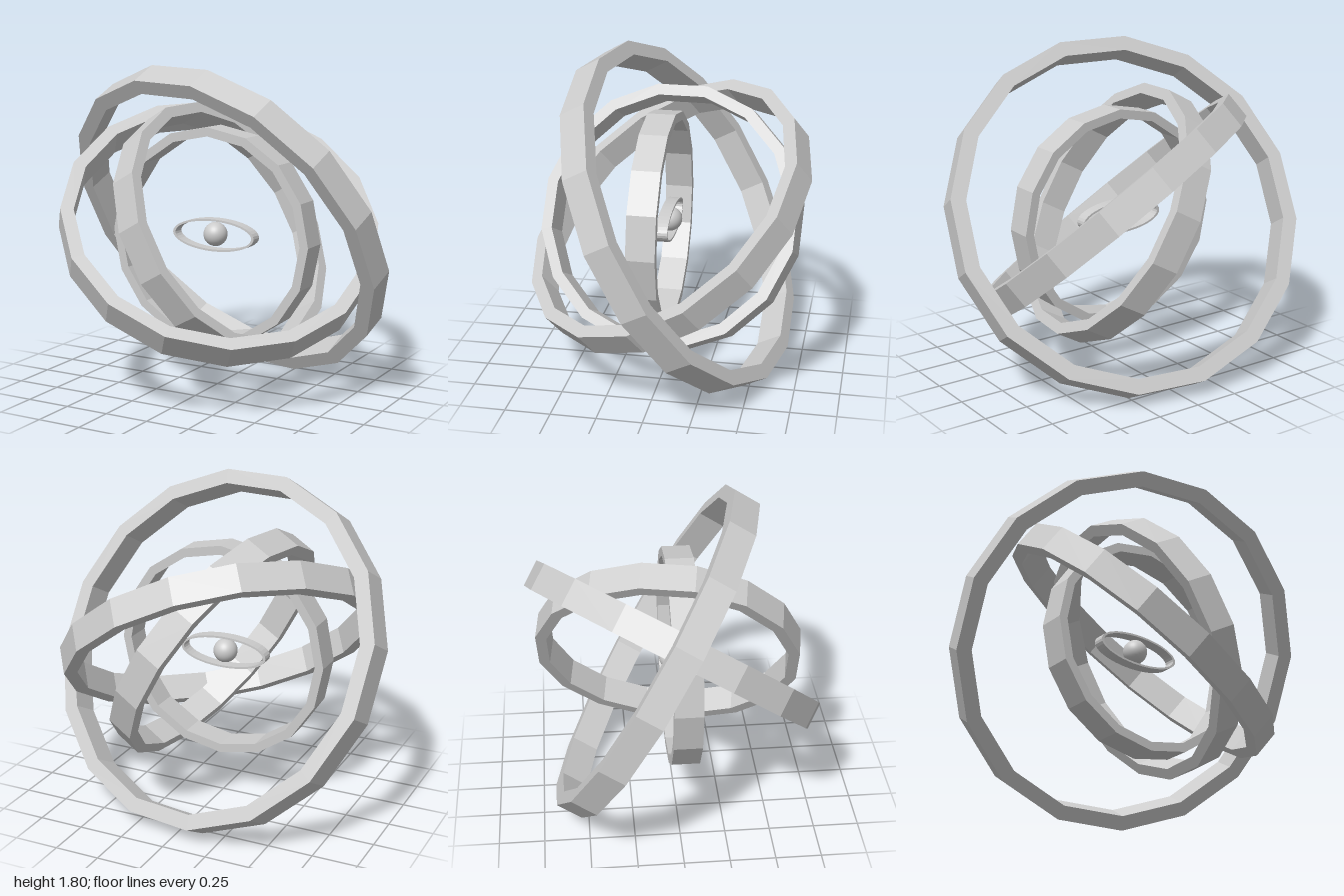
import * as THREE from 'three';

const grey = new THREE.MeshStandardMaterial({ color: 0xcccccc, flatShading: true });
const smoothGrey = new THREE.MeshStandardMaterial({ color: 0xcccccc });

// Closed loop of points on an ellipse, starting at a phase in degrees
function loop(rx, ry, sides, phase = 0) {
  return Array.from({ length: sides }, (_, i) => {
    const a = THREE.MathUtils.degToRad(phase) + (i / sides) * Math.PI * 2;
    return new THREE.Vector2(rx * Math.cos(a), ry * Math.sin(a));
  });
}

// Flat-faced band around the z axis, centred on its depth
function band(outer, inner, depth) {
  const shape = new THREE.Shape(outer);
  shape.holes.push(new THREE.Path(inner));
  const geometry = new THREE.ExtrudeGeometry(shape, { depth, bevelEnabled: false });
  return geometry.translate(0, 0, -depth / 2);
}

// Sixteen-sided hoops: axis, centre, radius, wall, phase measured from a reference direction
const hoops = [
  { name: 'outerRing', axis: [-0.18, -0.49, 0.86], centre: [0, 0.905, -0.1], radius: 1.0, wall: 0.083, phase: 15.5, ref: [1, 0, 0] },
  { name: 'secondRing', axis: [0.43, 0.76, 0.49], centre: [0.018, 0.92, 0.005], radius: 0.88, wall: 0.073, phase: 5, ref: [1, 0, 0] },
  { name: 'thirdRing', axis: [0.86, 0.48, 0.145], centre: [0.037, 0.9, -0.02], radius: 0.735, wall: 0.062, phase: 9, ref: [0, 0, 1] },
  { name: 'innerRing', axis: [0, 0, 1], centre: [0, 0.862, 0.037], radius: 0.608, wall: 0.05, phase: 0, ref: [1, 0, 0] },
];

export function createModel() {
  const model = new THREE.Group();

  // Nested tilted hoops
  for (const { name, axis, centre, radius, wall, phase, ref } of hoops) {
    const inner = radius - wall;
    const hoop = new THREE.Mesh(
      band(loop(radius, radius, 16, phase), loop(inner, inner, 16, phase), 0.155), grey);
    const n = new THREE.Vector3(...axis).normalize();
    const u = new THREE.Vector3(...ref).projectOnPlane(n).normalize();
    const v = new THREE.Vector3().crossVectors(n, u);
    hoop.quaternion.setFromRotationMatrix(new THREE.Matrix4().makeBasis(u, v, n));
    hoop.position.set(...centre);
    hoop.name = name;
    model.add(hoop);
  }

  // Thin oval band around the core
  const oval = new THREE.Mesh(band(loop(0.255, 0.09, 40), loop(0.24, 0.079, 40), 0.065), grey);
  oval.position.set(-0.015, 0.862, -0.005);
  oval.name = 'ovalBand';
  model.add(oval);

  // Core ball
  const core = new THREE.Mesh(new THREE.SphereGeometry(0.067, 32, 20), smoothGrey);
  core.position.set(-0.017, 0.864, -0.008);
  core.name = 'coreBall';
  model.add(core);

  return model;
}
